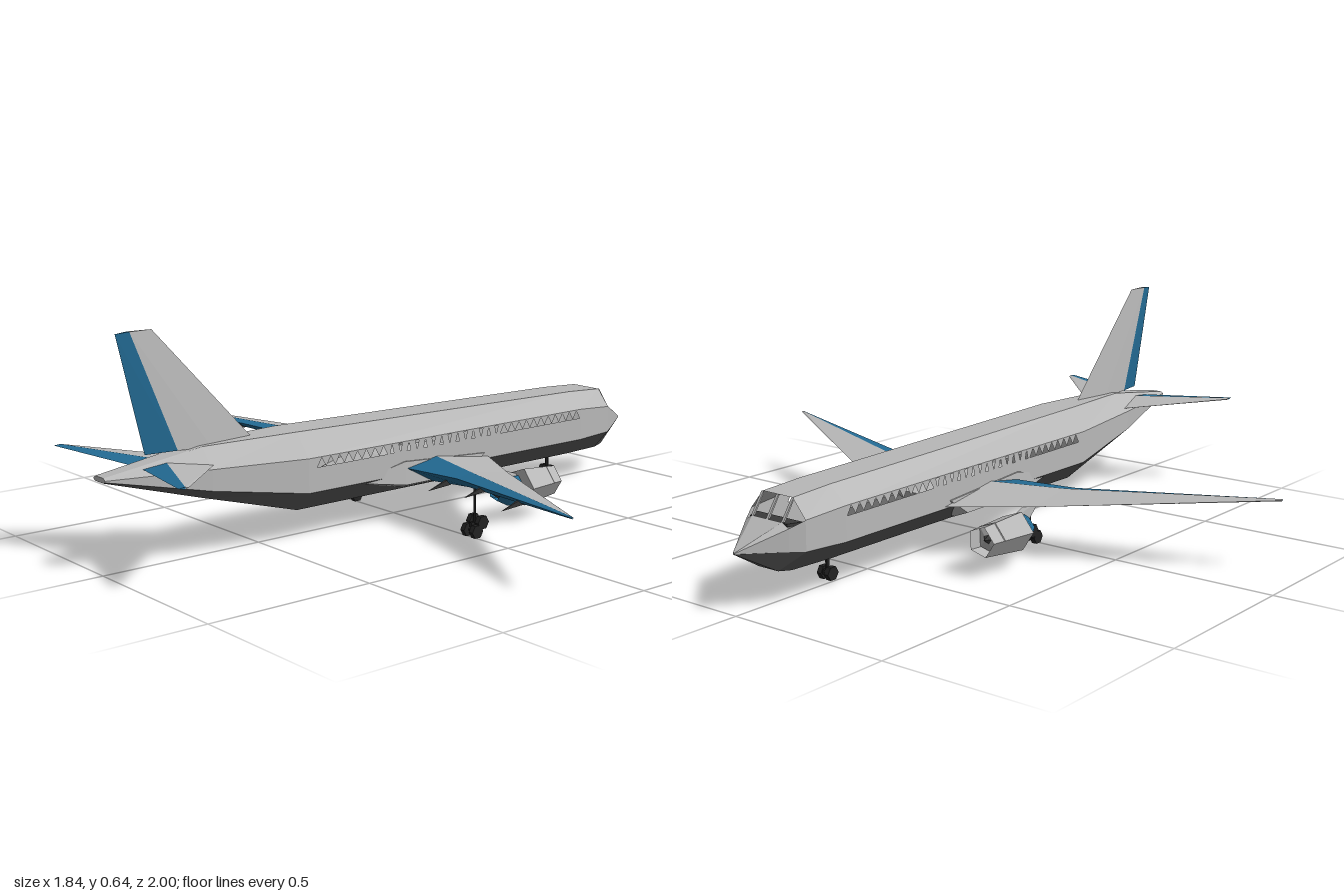
import * as THREE from 'three';
import { ConvexGeometry } from 'three/addons/geometries/ConvexGeometry.js';

const material = (name, color) => {
  const m = new THREE.MeshStandardMaterial({ color, flatShading: true, side: THREE.DoubleSide });
  m.name = name;
  return m;
};

export function createModel() {
  const grey = material('light grey', 0xb8b8b8);
  const bellyGrey = material('belly grey', 0x5e5e5e);
  const blue = material('blue', 0x236b94);
  const dark = material('dark grey', 0x3a3a3a);
  const black = material('tyre black', 0x222222);

  const model = new THREE.Group();
  model.name = 'airliner';

  const add = (name, geometry, mat, parent = model) => {
    const mesh = new THREE.Mesh(geometry, mat);
    mesh.name = name;
    parent.add(mesh);
    return mesh;
  };
  const hull = (name, points, mat, parent) =>
    add(name, new ConvexGeometry(points.map((p) => new THREE.Vector3(...p))), mat, parent);

  // Skin between matching loops, running from the back (+z) forwards
  const loft = (loops, keep = () => true) => {
    const out = [];
    for (let i = 0; i < loops.length - 1; i++) {
      const n = loops[i].length;
      for (let j = 0; j < n; j++) {
        if (!keep(i, j)) continue;
        const a = loops[i][j], b = loops[i][(j + 1) % n];
        const c = loops[i + 1][j], d = loops[i + 1][(j + 1) % n];
        out.push(...a, ...c, ...d, ...a, ...d, ...b);
      }
    }
    const g = new THREE.BufferGeometry();
    g.setAttribute('position', new THREE.Float32BufferAttribute(out, 3));
    g.computeVertexNormals();
    return g;
  };

  // Fuselage: eight-sided sections
  const section = ([z, topY, topW, upY, sideW, lowY, botY, botW]) => {
    const half = [[botW, botY], [sideW, lowY], [sideW, upY], [topW, topY]];
    return [...half.map(([x, y]) => [x, y, z]), ...half.reverse().map(([x, y]) => [-x, y, z])];
  };
  const sections = [
    [1.0, 0.272, 0.02, 0.266, 0.03, 0.262, 0.258, 0.02],
    [0.7, 0.315, 0.03, 0.26, 0.08, 0.2, 0.172, 0.035],
    [0.4, 0.318, 0.055, 0.25, 0.11, 0.15, 0.09, 0.05],
    [-0.7, 0.3, 0.055, 0.25, 0.11, 0.15, 0.093, 0.05],
    [-0.84, 0.293, 0.055, 0.24, 0.1, 0.155, 0.095, 0.045],
    [-0.88, 0.235, 0.055, 0.222, 0.078, 0.16, 0.1, 0.035],
    [-1.0, 0.172, 0.002, 0.171, 0.003, 0.169, 0.168, 0.002],
  ].map(section);
  const isBelly = (j) => j === 0 || j > 5;
  const isSide = (j) => j === 1 || j === 5;
  const isOpen = (i, j) => (i === 2 && isSide(j)) || (i === 4 && j > 1 && j < 5);
  add('fuselage', loft(sections, (i, j) => !isBelly(j) && !isOpen(i, j)), grey);
  add('belly', loft(sections, (i, j) => isBelly(j)), bellyGrey);
  add('tailEnd', loft([sections[0].map(() => [0, 0.265, 1]), sections[0]]), grey);

  // Cabin sides with a row of triangular window openings
  const side = new THREE.Shape([[-0.7, 0.15], [0.4, 0.15], [0.4, 0.25], [-0.7, 0.25]]
    .map((p) => new THREE.Vector2(...p)));
  for (let i = 0; i < 33; i++) {
    const z = 0.355 - i * 0.0323;
    const sparse = i > 7 && i < 22;
    const r = sparse ? 0.007 : 0.0155;
    const flip = i % 2 && sparse ? -1 : 1;
    const hole = [[-r, -0.013 * flip], [r, -0.013 * flip], [0, 0.013 * flip]]
      .map(([dz, dy]) => new THREE.Vector2(z + dz, 0.234 + dy));
    side.holes.push(new THREE.Path(hole));
  }
  for (const s of [1, -1]) {
    const g = new THREE.ShapeGeometry(side).rotateY(s * Math.PI / 2);
    if (s > 0) g.scale(1, 1, -1);
    add('windowPanel', g.translate(s * 0.11, 0, 0), grey);
  }

  // Open cockpit windows: posts and a dark dashboard behind them
  for (const x of [-0.055, 0, 0.055]) {
    hull('windscreenPost', [-0.004, 0.004].flatMap((d) => [
      [x + d, 0.293, -0.84], [x + d, 0.286, -0.84], [x + d, 0.235, -0.88], [x + d, 0.235, -0.873],
    ]), grey);
  }
  hull('dashboard', [1, -1].flatMap((s) => [
    [s * 0.085, 0.232, -0.835], [s * 0.085, 0.224, -0.835], [s * 0.068, 0.232, -0.876], [s * 0.068, 0.224, -0.876],
  ]), dark);

  // Fairing where the wings meet the belly
  hull('bellyFairing', [1, -1].flatMap((s) => [
    [s * 0.1, 0.15, 0.23], [s * 0.115, 0.19, 0.05], [s * 0.12, 0.12, 0.05],
    [s * 0.12, 0.12, -0.2], [s * 0.115, 0.17, -0.27], [s * 0.07, 0.1, 0.02], [s * 0.07, 0.1, -0.2],
  ]), grey);

  for (const s of [1, -1]) {
    const at = (x, y, z) => [s * x, y, z];

    // Wing: leading edge, hinge line (top and bottom) and trailing edge at each station
    const wing = new THREE.Group();
    wing.name = s > 0 ? 'leftWing' : 'rightWing';
    model.add(wing);
    const stations = [
      { x: 0.1, lead: [0.155, -0.295], top: [0.187, -0.08], low: [0.113, -0.06], trail: [0.168, 0.042] },
      { x: 0.33, lead: [0.165, -0.16], top: [0.188, -0.015], low: [0.146, -0.005], trail: [0.178, 0.042] },
      { x: 0.92, lead: [0.211, 0.182], top: [0.214, 0.187], low: [0.208, 0.187], trail: [0.212, 0.192] },
    ];
    for (let i = 0; i < 2; i++) {
      const pair = [stations[i], stations[i + 1]];
      const pick = (...keys) => pair.flatMap((p) => keys.map((k) => at(p.x, ...p[k])));
      hull('wingPanel', pick('lead', 'top', 'low'), grey, wing);
      hull('flap', pick('top', 'low', 'trail'), blue, wing);
    }
    // Flap track spikes
    for (const [x, y, z] of [[0.26, 0.145, 0.09], [0.44, 0.165, 0.115], [0.65, 0.18, 0.175]]) {
      hull('flapTrack', [at(x, y - 0.01, z), at(x - 0.004, y + 0.012, z - 0.07),
        at(x + 0.004, y + 0.012, z - 0.07), at(x, y - 0.005, z - 0.09)], dark, wing);
    }

    // Tailplane and elevator
    const tail = new THREE.Group();
    tail.name = 'tailplane';
    model.add(tail);
    const hinge = [at(0.02, 0.288, 0.81), at(0.02, 0.258, 0.81), at(0.32, 0.297, 0.94), at(0.32, 0.291, 0.94)];
    hull('stabiliser', [at(0.05, 0.268, 0.67), at(0.32, 0.294, 0.93), ...hinge], grey, tail);
    hull('elevator', [at(0.02, 0.28, 0.885), at(0.32, 0.295, 0.96), ...hinge], blue, tail);

    // Engine: five-sided cowl, fan, exhaust and pylon
    const engine = new THREE.Group();
    engine.name = 'engine';
    model.add(engine);
    const ring = (cx, cy, z, r) => Array.from({ length: 5 }, (_, k) => {
      const a = 0.05 + s * k * Math.PI * 0.4;
      return at(cx + r * Math.cos(a), cy + r * Math.sin(a), z);
    });
    const cowlBack = ring(0.317, 0.11, -0.225, 0.058);
    const exhaust = ring(0.298, 0.1, -0.225, 0.043);
    add('cowl', loft([cowlBack, ring(0.302, 0.107, -0.37, 0.045)]), grey, engine);
    add('cowlRear', loft([exhaust, cowlBack]), grey, engine);
    add('fan', loft([ring(0.307, 0.11, -0.33, 0.049), ring(0.306, 0.11, -0.345, 0.014)]), grey, engine);
    add('spinner', loft([ring(0.306, 0.11, -0.345, 0.014), ring(0.306, 0.11, -0.36, 0.001)]), dark, engine);
    add('exhaust', loft([ring(0.293, 0.1, -0.145, 0.026), ring(0.296, 0.1, -0.18, 0.046), exhaust]), blue, engine);
    add('exhaustCone', loft([ring(0.293, 0.1, -0.13, 0.002), ring(0.293, 0.1, -0.16, 0.026)]), dark, engine);
    hull('pylon', [at(0.3, 0.13, -0.27), at(0.294, 0.12, -0.15), at(0.302, 0.12, -0.15),
      at(0.294, 0.165, -0.1), at(0.302, 0.165, -0.1), at(0.298, 0.165, -0.17)], grey, engine);
  }

  // Fin and rudder
  const rudderFront = [];
  for (const s of [1, -1]) rudderFront.push([s * 0.018, 0.312, 0.77], [s * 0.006, 0.645, 0.9]);
  hull('fin', [[0, 0.315, 0.52], [0, 0.645, 0.83], ...rudderFront,
    [0.014, 0.305, 0.66], [-0.014, 0.305, 0.66]], grey);
  hull('rudder', [[0, 0.31, 0.862], [0, 0.642, 0.94], ...rudderFront], blue);

  // Landing gear: strut, axles and low-poly wheels
  const gear = (name, x, z, top, strutR, axles, gap) => {
    const group = new THREE.Group();
    group.name = name;
    group.position.set(x, 0, z);
    model.add(group);
    const strut = new THREE.CylinderGeometry(strutR, strutR, top - 0.03, 5);
    add('strut', strut.translate(0, (top + 0.03) / 2, 0), black, group);
    add('bogie', new THREE.BoxGeometry(0.01, 0.014, 0.03), black, group).position.y = 0.038;
    for (const [y, dz] of axles) {
      add('axle', new THREE.BoxGeometry(gap * 2, 0.006, 0.006), black, group).position.set(0, y, dz);
      for (const s of [1, -1]) {
        const wheel = new THREE.CylinderGeometry(0.021, 0.021, 0.016, 6).rotateZ(Math.PI / 2);
        add('wheel', wheel, black, group).position.set(s * gap, y, dz);
      }
    }
  };
  const mainAxles = [[0.045, -0.012], [0.021, 0.01]];
  gear('rightMainGear', -0.205, -0.015, 0.15, 0.004, mainAxles, 0.018);
  gear('leftMainGear', 0.345, -0.015, 0.16, 0.004, mainAxles, 0.018);
  gear('noseGear', 0, -0.66, 0.11, 0.006, [[0.034, 0]], 0.013);

  return model;
}
